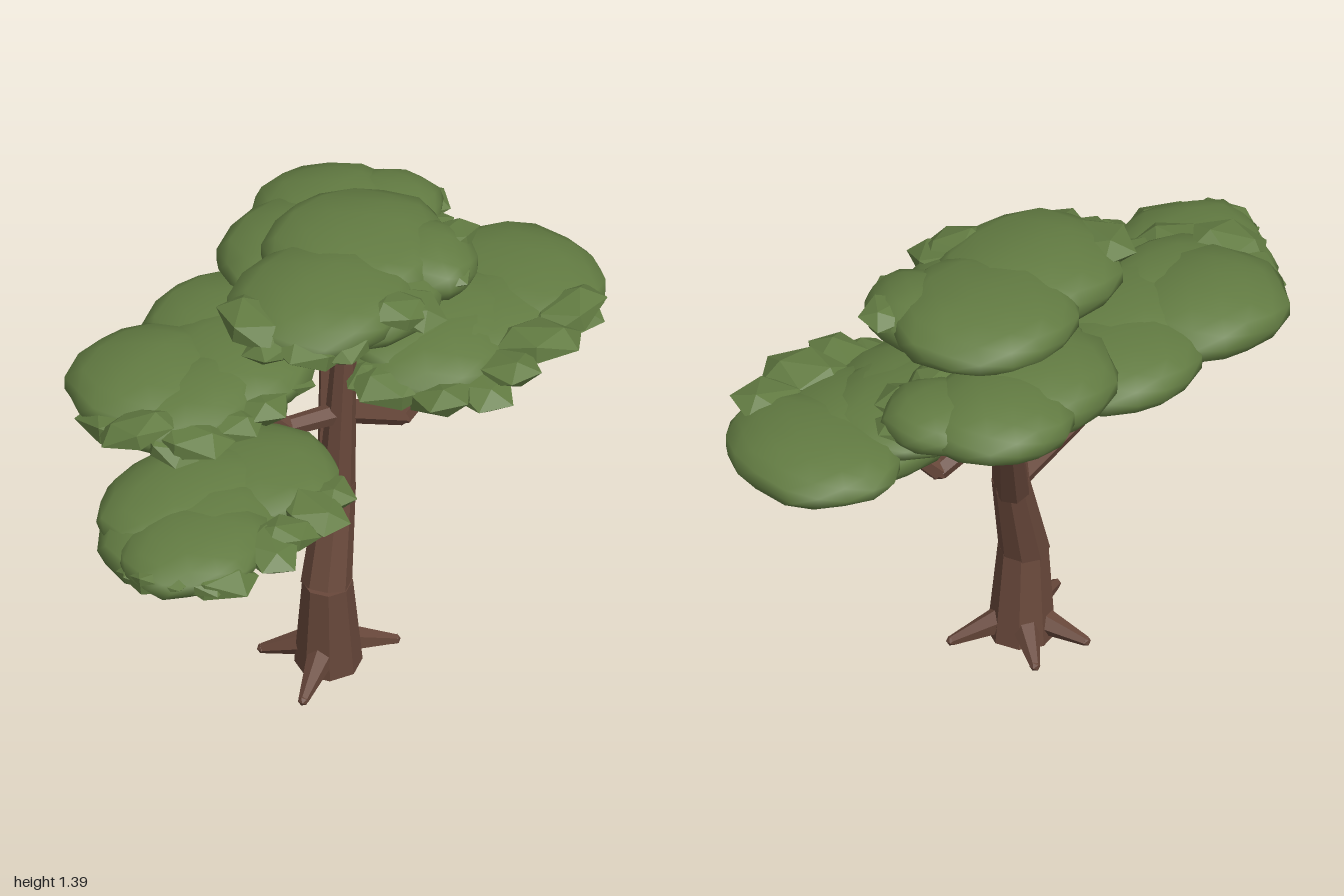
import * as THREE from 'three';
import { mergeVertices } from 'three/addons/utils/BufferGeometryUtils.js';

const bark = new THREE.MeshStandardMaterial({ color: 0x67473a });
bark.name = 'bark brown';
const leaf = new THREE.MeshStandardMaterial({ color: 0x627b42 });
leaf.name = 'leaf green';

let seed = 7;
const rand = () => (seed = (seed * 16807) % 2147483647) / 2147483647;
const V = (p) => new THREE.Vector3(...p);

function add(parent, name, geometry, material) {
  const mesh = new THREE.Mesh(geometry, material);
  mesh.name = name;
  parent.add(mesh);
  return mesh;
}

// Faceted tapered limb between two points
function limb(parent, name, a, b, r0, r1, sides) {
  const from = V(a), dir = V(b).sub(from), length = dir.length();
  const geometry = new THREE.CylinderGeometry(r1, r0, length, sides).toNonIndexed();
  geometry.computeVertexNormals();
  const mesh = add(parent, name, geometry, bark);
  mesh.position.copy(from).addScaledVector(dir, 0.5);
  mesh.quaternion.setFromUnitVectors(new THREE.Vector3(0, 1, 0), dir.normalize());
}

// Chain of limbs through points, with one radius per point
function limbChain(parent, name, points, radii, sides) {
  const group = new THREE.Group();
  group.name = name;
  parent.add(group);
  for (let i = 0; i < points.length - 1; i++) {
    limb(group, name + 'Segment', points[i], points[i + 1], radii[i], radii[i + 1], sides);
    // Knuckle closing the bend
    if (i > 0) {
      const knuckle = new THREE.IcosahedronGeometry(radii[i] * 0.98, 0);
      add(group, name + 'Joint', knuckle, bark).position.set(...points[i]);
    }
  }
}

// Smooth, flattened and slightly lumpy leaf mass
function leafMass(parent, [x, y, z, rx, ry, rz]) {
  let g = new THREE.IcosahedronGeometry(1, 2);
  g.deleteAttribute('uv');
  g.deleteAttribute('normal');
  g = mergeVertices(g, 1e-4);
  const p = g.attributes.position, v = new THREE.Vector3(), phase = rand() * 6;
  for (let i = 0; i < p.count; i++) {
    v.fromBufferAttribute(p, i);
    const lump = 1.01 + 0.04 * Math.sin(4 * v.x + phase) * Math.cos(4 * v.z + phase) + 0.03 * Math.sin(9 * v.z - phase);
    p.setXYZ(i, v.x * lump * rx, v.y * lump * ry, v.z * lump * rz);
  }
  g.computeVertexNormals();
  add(parent, 'leafMass', g, leaf).position.set(x, y, z);
}

// Broad angular leaf tufts half sunk into the front and right rim of a clump
function leafTufts(parent, [x, y, z, rx, ry, rz], count) {
  for (let i = 0; i < count; i++) {
    const a = THREE.MathUtils.degToRad(20 + (195 * (i + rand() * 0.7)) / count);
    const size = 0.08 + rand() * 0.035;
    const tuft = add(parent, 'leafTuft', new THREE.IcosahedronGeometry(size, 0), leaf);
    tuft.scale.set(1.25, 0.45, 0.95);
    tuft.rotation.set(rand() * 0.4 - 0.2, rand() * 6, rand() * 0.4 - 0.2);
    tuft.position.set(x + Math.cos(a) * rx * 0.77, y + (rand() - 0.45) * ry * 0.6, z + Math.sin(a) * rz * 0.74);
  }
}

export function createModel() {
  const tree = new THREE.Group();
  tree.name = 'tree';

  // Trunk
  limb(tree, 'trunkBase', [0.02, 0.01, 0.09], [0.003, 0.305, 0.102], 0.098, 0.073, 8);
  limb(tree, 'trunkMiddle', [0.0, 0.295, 0.1], [0.08, 0.6, 0.068], 0.074, 0.055, 8);
  limb(tree, 'trunkTop', [0.077, 0.57, 0.068], [0.11, 1.24, 0.08], 0.055, 0.028, 8);

  // Roots
  const rootTips = [[-0.19, 0.025, 0.185], [0.21, 0.022, 0.175], [0.11, 0.025, -0.075], [-0.08, 0.022, -0.075]];
  for (const tip of rootTips) {
    limb(tree, 'root', [0.02 + (tip[0] - 0.02) * 0.2, 0.075, 0.09 + (tip[2] - 0.09) * 0.2], tip, 0.045, 0.015, 6);
    add(tree, 'rootTip', new THREE.IcosahedronGeometry(0.016, 0), bark).position.set(...tip);
  }

  // Branches
  limbChain(tree, 'lowRightBranch', [[0.07, 0.59, 0.07], [-0.22, 0.645, 0.12], [-0.42, 0.79, 0.19], [-0.5, 0.86, 0.21]],
    [0.042, 0.033, 0.022, 0.018], 6);
  limbChain(tree, 'highRightBranch', [[0.09, 0.84, 0.07], [-0.08, 0.855, 0.02], [-0.2, 1.0, -0.04], [-0.25, 1.06, -0.06]],
    [0.033, 0.028, 0.02, 0.017], 6);
  limbChain(tree, 'leftBranch', [[0.1, 0.84, 0.07], [0.32, 0.725, 0.105], [0.46, 0.88, 0.17], [0.52, 0.94, 0.18]],
    [0.036, 0.032, 0.021, 0.018], 6);
  limbChain(tree, 'backBranch', [[0.08, 0.57, 0.06], [0.22, 0.93, -0.08], [0.3, 1.13, -0.15]],
    [0.053, 0.037, 0.024], 7);

  // Foliage clumps: masses and tuft rim as x, y, z, rx, ry, rz
  const clumps = {
    lowRightFoliage: {
      masses: [
        [-0.65, 0.88, 0.18, 0.3, 0.1, 0.24], [-0.35, 0.91, 0.16, 0.22, 0.07, 0.24],
        [-0.74, 0.905, 0.26, 0.24, 0.075, 0.2], [-0.58, 0.91, 0.09, 0.31, 0.085, 0.21]],
      rim: [-0.57, 0.9, 0.27, 0.42, 0.09, 0.22] },
    highRightFoliage: {
      masses: [
        [-0.43, 1.11, -0.18, 0.26, 0.095, 0.23], [-0.08, 1.1, -0.2, 0.27, 0.09, 0.24],
        [-0.4, 1.1, -0.04, 0.28, 0.09, 0.19], [-0.22, 1.11, -0.08, 0.28, 0.085, 0.24]],
      rim: [-0.36, 1.11, -0.05, 0.39, 0.09, 0.24] },
    leftFoliage: {
      masses: [
        [0.37, 0.97, 0.16, 0.27, 0.1, 0.24], [0.765, 0.985, 0.14, 0.23, 0.08, 0.28],
        [0.57, 0.96, 0.17, 0.31, 0.095, 0.25], [0.42, 1.01, 0.09, 0.28, 0.07, 0.23]],
      rim: [0.5, 0.98, 0.22, 0.44, 0.09, 0.26] },
    backFoliage: {
      masses: [
        [0.25, 1.18, -0.22, 0.27, 0.1, 0.23], [0.43, 1.19, -0.27, 0.23, 0.09, 0.22],
        [0.56, 1.19, -0.18, 0.16, 0.075, 0.17], [0.26, 1.16, -0.1, 0.3, 0.08, 0.2]],
      rim: [0.43, 1.18, -0.24, 0.32, 0.08, 0.24] },
    topFoliage: {
      masses: [
        [0.0, 1.29, 0.08, 0.28, 0.095, 0.25], [0.24, 1.3, -0.01, 0.28, 0.09, 0.26],
        [0.35, 1.28, 0.14, 0.16, 0.085, 0.18], [0.12, 1.265, 0.1, 0.28, 0.09, 0.24]],
      rim: [0.12, 1.29, 0.09, 0.46, 0.08, 0.28] },
  };
  for (const [name, { masses, rim }] of Object.entries(clumps)) {
    const clump = new THREE.Group();
    clump.name = name;
    tree.add(clump);
    masses.forEach((mass) => leafMass(clump, mass));
    leafTufts(clump, rim, 8);
  }
  return tree;
}
